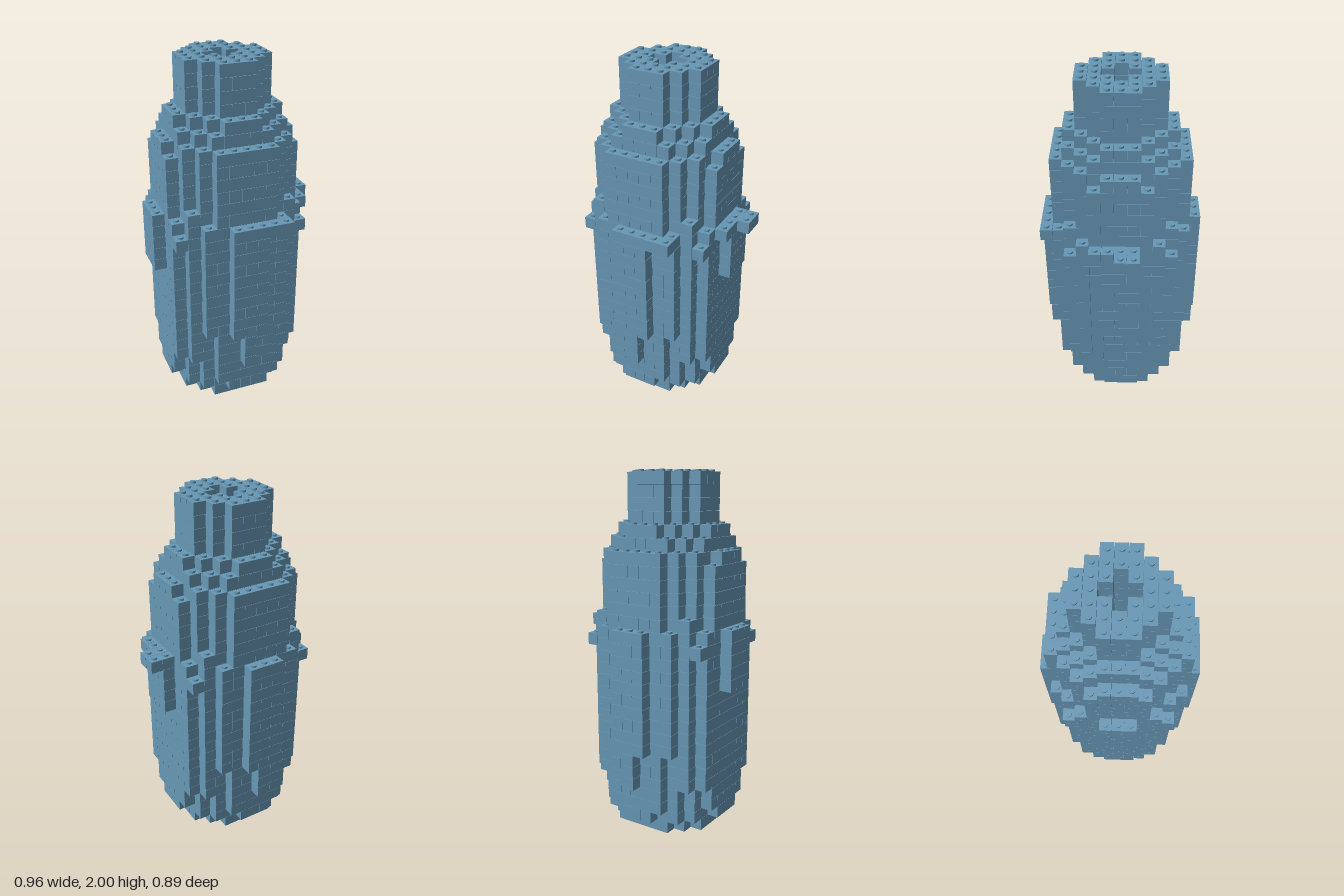
import * as THREE from 'three';
import { mergeGeometries } from 'three/addons/utils/BufferGeometryUtils.js';

const P = 0.0685;           // brick pitch
const H = 1.99 / 29;        // layer height
const X0 = -P / 2;          // axis of the bottle
const GAP = 0.0015;         // seam between bricks

// Half width in bricks for each row |dz| = 0, 1, 2 ... of a symmetric layer
const profiles = [
  { from: 0, to: 0, half: [4, 4, 4, 3, 2], part: 'base' },
  { from: 1, to: 1, half: [5, 5, 4, 4, 3, 1], part: 'base' },
  { from: 2, to: 3, half: [5, 5, 5, 4, 3, 2], part: 'base' },
  { from: 4, to: 6, half: [5, 5, 5, 5, 4, 2, 0], part: 'body' },
  { from: 7, to: 14, half: [5, 5, 5, 5, 4, 3, 1], part: 'body' },
  { from: 15, to: 15, half: [5, 5, 5, 5, 5, 3, 1], part: 'body' },
  { from: 16, to: 16, half: [5, 5, 5, 5, 4, 3, 1], part: 'body' },
  { from: 17, to: 17, half: [5, 5, 5, 4, 4, 2], part: 'shoulder' },
  { from: 18, to: 21, half: [5, 5, 5, 4, 3, 2], part: 'shoulder' },
  { from: 22, to: 22, half: [5, 5, 4, 4, 3, 2], part: 'shoulder' },
  { from: 23, to: 23, half: [4, 4, 4, 3, 2], part: 'collar' },
  { from: 24, to: 24, half: [4, 4, 3, 2, 1], part: 'collar' },
  { from: 25, to: 28, half: [3, 3, 2, 1], part: 'neck' },
];

// Extra bricks: [x from, x to, z from, z to, layer from, layer to]
const lugs = [
  [-6, -6, -1, 1, 12, 16],  // left lug
  [6, 6, -1, 1, 12, 16],    // right lug
  [6, 6, 2, 2, 16, 16],
  [7, 7, -1, 0, 16, 16],
  [2, 3, 6, 6, 16, 16],     // front lip
];

function buildLayers() {
  const layers = [];
  for (const { from, to, half, part } of profiles) {
    for (let y = from; y <= to; y++) {
      const cells = new Set();
      half.forEach((w, d) => {
        for (let x = -w; x <= w; x++) {
          // plus-shaped shaft down the middle
          if (y > 0 && Math.abs(x) + d <= 1) continue;
          cells.add(`${x},${d}`);
          cells.add(`${x},${-d}`);
        }
      });
      layers[y] = { cells, part };
    }
  }
  for (const [xa, xb, za, zb, ya, yb] of lugs)
    for (let y = ya; y <= yb; y++)
      for (let x = xa; x <= xb; x++)
        for (let z = za; z <= zb; z++) layers[y].cells.add(`${x},${z}`);
  return layers;
}

// A brick n cells long, lying along x or along z
function brick(x, z, n, y, alongX) {
  const nx = alongX ? n : 1, nz = alongX ? 1 : n;
  const g = new THREE.BoxGeometry(nx * P - GAP, H - GAP, nz * P - GAP);
  return g.translate(X0 + (x + (nx - 1) / 2) * P, (y + 0.5) * H, (z + (nz - 1) / 2) * P);
}

export function createModel() {
  const model = new THREE.Group();
  model.name = 'brickBottle';
  const blue = new THREE.MeshStandardMaterial({ color: 0x6797b5 });
  blue.name = 'sandBlue';

  const layers = buildLayers();
  const parts = {};
  const studs = [];
  const stud = new THREE.CylinderGeometry(0.0165, 0.0165, 0.012, 16);

  layers.forEach(({ cells, part }, y) => {
    const list = (parts[part] ??= []);
    const alongX = y % 2 === 0;
    const key = (a, b) => (alongX ? `${a},${b}` : `${b},${a}`);
    // Rows of bricks, laid crosswise on alternate layers
    for (let b = -7; b <= 7; b++) {
      for (let a = -7; a <= 7; a++) {
        if (!cells.has(key(a, b))) continue;
        let n = 1;
        while (n < 6 && cells.has(key(a + n, b))) n++;
        list.push(alongX ? brick(a, b, n, y, true) : brick(b, a, n, y, false));
        a += n - 1;
      }
    }
    // Studs wherever nothing sits on top
    for (const c of cells) {
      if (layers[y + 1]?.cells.has(c)) continue;
      const [x, z] = c.split(',').map(Number);
      studs.push(stud.clone().translate(X0 + x * P, (y + 1) * H + 0.004, z * P));
    }
  });

  parts.studs = studs;
  for (const [name, list] of Object.entries(parts)) {
    const mesh = new THREE.Mesh(mergeGeometries(list), blue);
    mesh.name = name;
    model.add(mesh);
  }
  return model;
}
